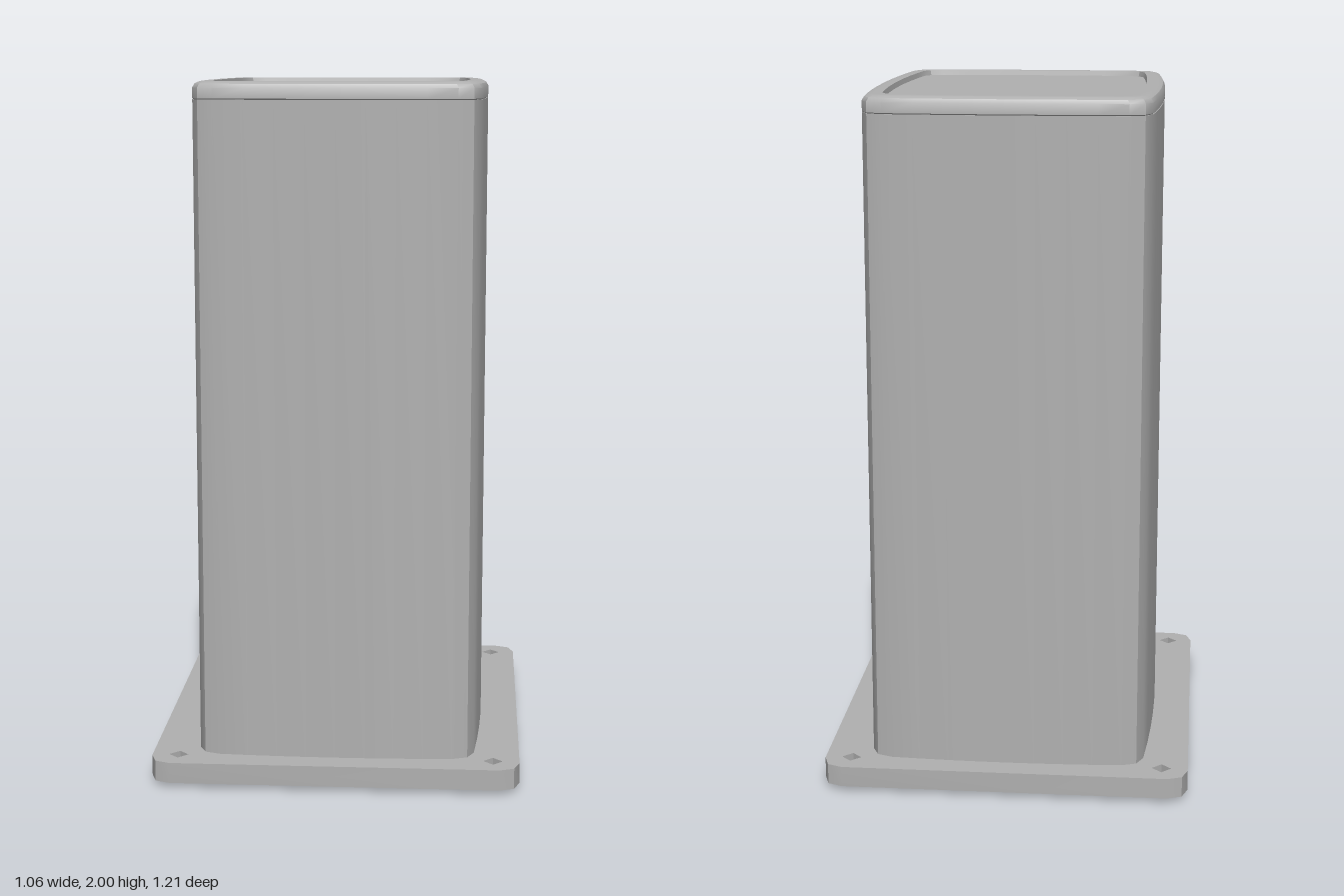
import * as THREE from 'three';
import { toCreasedNormals } from 'three/addons/utils/BufferGeometryUtils.js';

const HALF_X = 0.42, HALF_Z = 0.53;

// Mirrors a first-quadrant run of points (from +x towards +y) into a closed counter-clockwise outline.
function mirrorOutline(quarter) {
  const flipX = quarter.map(([x, y]) => [-x, y]).reverse();
  const half = [...quarter, ...flipX];
  const all = [...half, ...half.map(([x, y]) => [-x, -y])];
  return all
    .filter((p, i) => {
      const q = all[(i + 1) % all.length];
      return Math.hypot(p[0] - q[0], p[1] - q[1]) > 1e-5;
    })
    .map(([x, y]) => new THREE.Vector2(x, y));
}

// Rectangle with gently bowed sides and small faceted round corners.
function bowedOutline() {
  const quarter = [];
  for (let i = 0; i <= 4; i++) {
    const t = i / 4;
    quarter.push([HALF_X - 0.021 * t * t, 0.462 * t]);
  }
  quarter.push([0.38, 0.503]);
  for (let i = 4; i >= 0; i--) {
    const t = i / 4;
    quarter.push([0.337 * t, HALF_Z - 0.011 * t * t]);
  }
  return mirrorOutline(quarter);
}

// Extrudes a plan shape upwards from y0 to y1.
function slab(shape, y0, y1) {
  const g = new THREE.ExtrudeGeometry(shape, { depth: y1 - y0, bevelEnabled: false });
  g.rotateX(-Math.PI / 2);
  g.translate(0, y0, 0);
  return toCreasedNormals(g, 0.5);
}

// Stacks inset copies of an outline ([inset, y] per ring) and closes the last one.
function loft(outline, rings) {
  const pos = [], index = [], n = outline.length;
  for (const [inset, y] of rings) {
    for (const p of outline) {
      pos.push(p.x * (1 - inset / HALF_X), y, -p.y * (1 - inset / HALF_Z));
    }
  }
  for (let r = 0; r < rings.length - 1; r++) {
    for (let j = 0; j < n; j++) {
      const k = (j + 1) % n, a = r * n + j, b = r * n + k;
      index.push(a, b, b + n, a, b + n, a + n);
    }
  }
  const last = (rings.length - 1) * n;
  pos.push(0, rings[rings.length - 1][1], 0);
  for (let j = 0; j < n; j++) index.push(last + j, last + (j + 1) % n, rings.length * n);
  const g = new THREE.BufferGeometry();
  g.setAttribute('position', new THREE.Float32BufferAttribute(pos, 3));
  g.setIndex(index);
  return toCreasedNormals(g, 0.6);
}

export function createModel() {
  const model = new THREE.Group();
  model.name = 'post';
  const grey = new THREE.MeshStandardMaterial({ color: 0xb0b0b0 });
  grey.name = 'grey';
  const add = (name, geometry) => {
    const mesh = new THREE.Mesh(geometry, grey);
    mesh.name = name;
    model.add(mesh);
  };

  // Column, reaching just below the flange
  const outline = bowedOutline();
  add('column', slab(new THREE.Shape(outline), 0, 1.95));

  // Cap with a softened edge and a shallow recessed top
  add('cap', loft(outline, [
    [0.005, 1.948], [0, 1.953], [0, 1.982], [0.006, 1.993], [0.018, 1.999],
    [0.03, 2], [0.053, 2], [0.056, 1.985],
  ]));

  // Base flange with cut corners and four diamond bolt holes
  const flange = new THREE.Shape(mirrorOutline([[0.53, 0.54], [0.514, 0.587], [0.472, 0.604]]));
  for (const sx of [-1, 1]) {
    for (const sz of [-1, 1]) {
      const cx = 0.454 * sx, cy = 0.53 * sz, r = 0.028;
      flange.holes.push(new THREE.Path([
        new THREE.Vector2(cx + r, cy), new THREE.Vector2(cx, cy - r),
        new THREE.Vector2(cx - r, cy), new THREE.Vector2(cx, cy + r),
      ]));
    }
  }
  add('baseFlange', slab(flange, 0.015, 0.075));

  return model;
}
